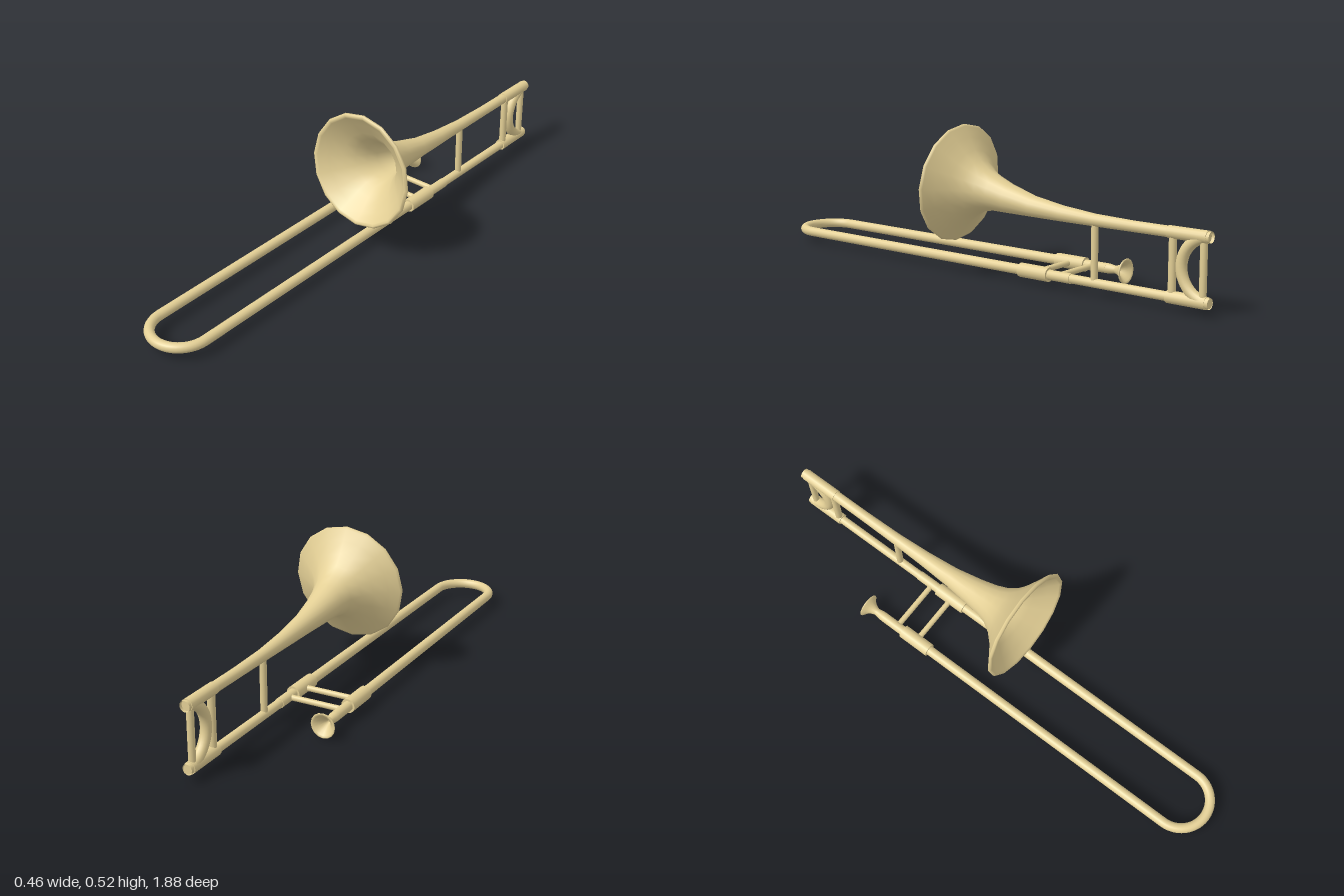
import * as THREE from 'three';

const brass = new THREE.MeshStandardMaterial({ color: 0xe3cf95, side: THREE.DoubleSide });
const V = (x, y, z) => new THREE.Vector3(x, y, z);
const XL = 0.02, XR = -0.187, YL = 0.045, YH = 0.25; // tube centre lines
const SIDES = 16;

// Straight rod between two points
function rod(name, a, b, r) {
  const g = new THREE.CylinderGeometry(r, r, a.distanceTo(b), SIDES);
  const m = new THREE.Mesh(g, brass);
  m.position.copy(a).lerp(b, 0.5);
  m.quaternion.setFromUnitVectors(V(0, 1, 0), b.clone().sub(a).normalize());
  m.name = name;
  return m;
}

// Tube along z at (x, y)
const zRod = (name, x, y, z0, z1, r) => rod(name, V(x, y, z0), V(x, y, z1), r);

// Half-circle bow
function bow(name, r, tube) {
  const m = new THREE.Mesh(new THREE.TorusGeometry(r, tube, SIDES, 24, Math.PI), brass);
  m.name = name;
  return m;
}

// Skin over tilted rings [z, y, radius, tilt]
function loft(rings, sides) {
  const pos = [], idx = [];
  rings.forEach(([z, y, r, t], i) => {
    for (let j = 0; j < sides; j++) {
      const a = (j / sides) * Math.PI * 2;
      pos.push(XL + r * Math.sin(a), y + r * Math.cos(a) * Math.cos(t), z - r * Math.cos(a) * Math.sin(t));
      if (i + 1 < rings.length) {
        const p = i * sides + j, q = i * sides + (j + 1) % sides;
        idx.push(p, p + sides, q, q, p + sides, q + sides);
      }
    }
  });
  const g = new THREE.BufferGeometry();
  g.setAttribute('position', new THREE.Float32BufferAttribute(pos, 3));
  g.setIndex(idx);
  g.computeVertexNormals();
  return g;
}

export function createModel() {
  const model = new THREE.Group();
  model.name = 'trombone';

  // Bell: outer flare, rolled lip, then the inside back to the throat
  const outer = [
    [-0.88, YH, 0.018, 0], [-0.6, YH, 0.0185, 0], [-0.45, 0.252, 0.021, 0], [-0.32, 0.258, 0.027, 0],
    [-0.2, 0.268, 0.036, 0.03], [-0.1, 0.283, 0.05, 0.05], [-0.04, 0.295, 0.061, 0.06],
    [0, 0.302, 0.074, 0.07], [0.035, 0.306, 0.096, 0.08], [0.065, 0.309, 0.126, 0.09],
    [0.095, 0.312, 0.167, 0.097], [0.117, 0.315, 0.2, 0.097],
  ];
  const lip = [[0.121, 0.315, 0.207, 0.097], [0.128, 0.316, 0.205, 0.097], [0.131, 0.316, 0.198, 0.097], [0.126, 0.315, 0.19, 0.097]];
  const inner = outer.slice(4, -1).reverse().map(([z, y, r, t]) => [z + 0.004, y, r - 0.005, t]);
  const bell = new THREE.Mesh(loft([...outer, ...lip, ...inner], SIDES), brass);
  bell.name = 'bell';
  model.add(bell);

  // Rear tuning bow
  const rear = bow('tuningBow', (YH - YL) / 2, 0.0185);
  rear.rotation.set(0, Math.PI / 2, Math.PI / 2, 'YXZ');
  rear.position.set(XL, (YH + YL) / 2, -0.88);
  model.add(rear);

  // Lower tube of the bell section
  model.add(zRod('lowerTube', XL, YL, -0.88, -0.2, 0.0155));

  // Collars and upright braces between the two tubes
  for (const y of [YL, YH]) model.add(zRod('bowCollar', XL, y, -0.87, -0.73, 0.0205));
  for (const [z, r] of [[-0.855, 0.012], [-0.745, 0.013], [-0.452, 0.012]])
    model.add(rod('uprightBrace', V(XL, YL, z), V(XL, YH, z), r));

  // Hand slide: two long tubes, collars and front bow
  for (const x of [XL, XR]) {
    model.add(zRod('slideTube', x, YL, -0.36, 0.88, 0.0175));
    model.add(zRod('slideCollar', x, YL, -0.27, -0.15, 0.0245));
  }
  const front = bow('slideBow', (XL - XR) / 2, 0.0175);
  front.rotation.x = Math.PI / 2;
  front.position.set((XL + XR) / 2, YL, 0.88);
  model.add(front);

  // Cross braces of the slide
  for (const z of [-0.3, -0.21]) model.add(rod('crossBrace', V(XR, YL, z), V(XL, YL, z), 0.01));

  // Mouthpiece: shank, flared cup, rim and hollow inside
  const profile = [[0.0175, 0], [0.017, 0.012], [0.013, 0.035], [0.015, 0.042], [0.02, 0.054], [0.03, 0.066],
    [0.042, 0.074], [0.044, 0.078], [0.041, 0.08], [0.035, 0.077], [0.024, 0.066], [0.012, 0.05], [0.005, 0.035]]
    .map(([r, y]) => new THREE.Vector2(r, y));
  const mouth = new THREE.Mesh(new THREE.LatheGeometry(profile, SIDES), brass);
  mouth.name = 'mouthpiece';
  mouth.rotation.x = -Math.PI / 2;
  mouth.position.set(XR, YL, -0.358);
  model.add(mouth);

  return model;
}
